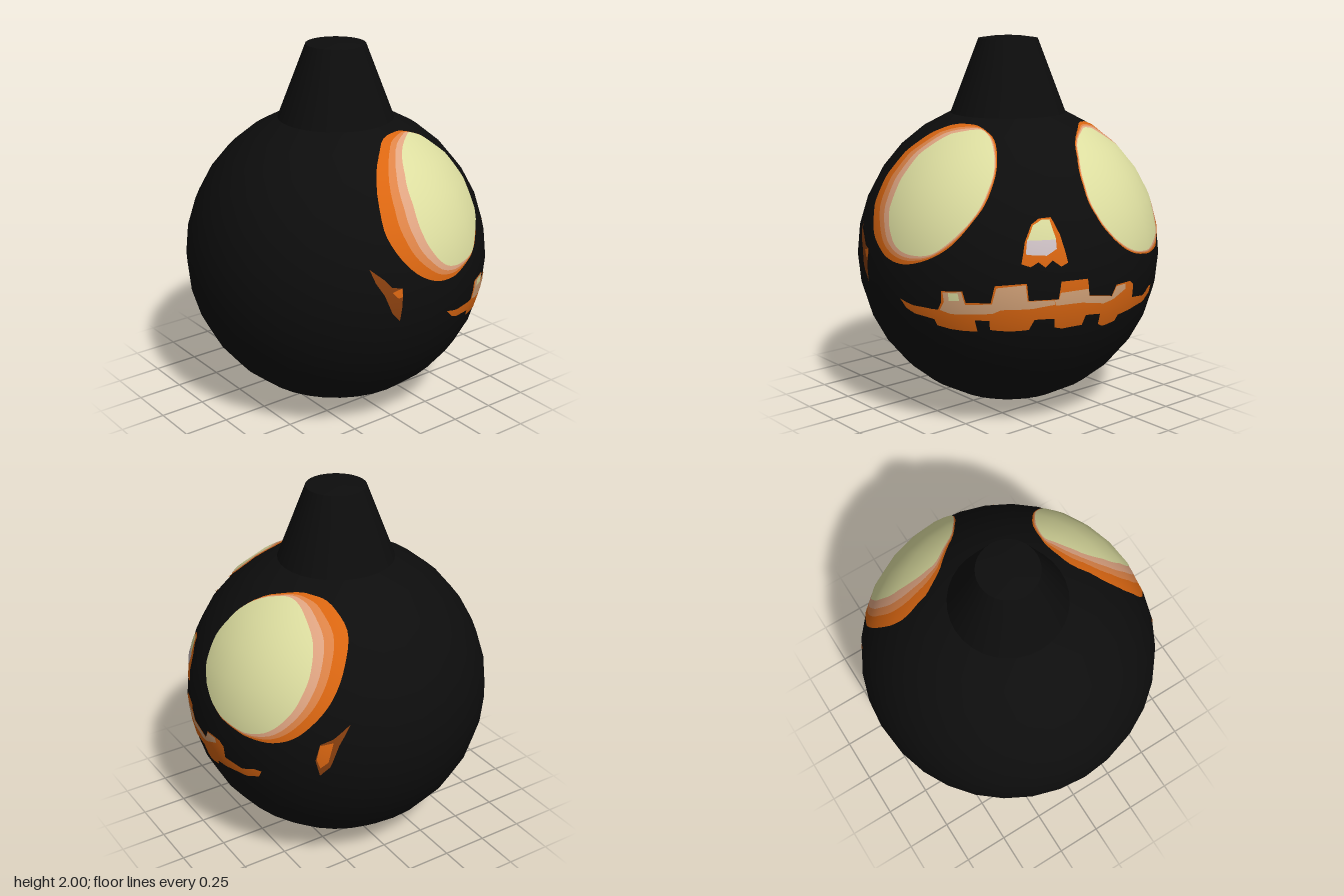
import * as THREE from 'three';

const R = 0.826, H = Math.PI / 32;
const mat = (name, color) => {
  const m = new THREE.MeshStandardMaterial({ color });
  m.name = name;
  return m;
};

// Outline points seen from the front (x, y) or the side (z, y), turned into [arc, y] on the ball
const ring = (y) => Math.sqrt(Math.max(0, R * R - (y - R) ** 2));
const clamp = (v) => Math.max(-1, Math.min(1, v));
const front = (pts) => pts.map(([x, y]) => [R * Math.asin(clamp(x / ring(y))), y]);
const side = (pts) => pts.map(([z, y]) => [R * Math.acos(clamp(z / ring(y))), y]);

// Point on the faceted ball, lifted by a small distance
function onBall([arc, y], lift) {
  const az = arc / R, r = ring(y), h = y - R;
  const mid = (Math.floor(az / (2 * H)) + 0.5) * 2 * H;
  const s = r * Math.cos(az - mid) / Math.cos(H);
  const th = Math.atan2(s, h);
  const thMid = (Math.floor(th / (2 * H)) + 0.5) * 2 * H;
  const t = R * Math.cos(H) / (Math.hypot(s, h) * Math.cos(th - thMid)) + lift / R;
  return [r * Math.sin(az) * t, h * t, r * Math.cos(az) * t];
}

// Thin painted patch that hugs the ball: triangulate, split long edges, project
function patch(name, outline, layer, material, smooth = false) {
  let pts = outline.map(([a, y]) => new THREE.Vector2(a, y));
  if (smooth) {
    const curve = new THREE.CatmullRomCurve3(pts.map((p) => new THREE.Vector3(p.x, p.y, 0)), true);
    pts = curve.getPoints(64).slice(0, 64).map((p) => new THREE.Vector2(p.x, p.y));
  }
  const flat = new THREE.ShapeGeometry(new THREE.Shape(pts));
  const p = flat.attributes.position, idx = flat.index.array;
  const stack = [], pos = [], nor = [];
  for (let i = 0; i < idx.length; i += 3)
    stack.push([0, 1, 2].map((k) => [p.getX(idx[i + k]), p.getY(idx[i + k])]));
  while (stack.length) {
    const t = stack.pop();
    const len = t.map((a, k) => Math.hypot(a[0] - t[(k + 1) % 3][0], a[1] - t[(k + 1) % 3][1]));
    const k = len.indexOf(Math.max(...len));
    if (len[k] > 0.03) {
      const a = t[k], b = t[(k + 1) % 3], c = t[(k + 2) % 3];
      const m = [(a[0] + b[0]) / 2, (a[1] + b[1]) / 2];
      stack.push([a, m, c], [m, b, c]);
    } else {
      for (const v of t) {
        const q = onBall(v, 0.002 * layer);
        pos.push(...q);
        nor.push(...new THREE.Vector3(...q).normalize().toArray());
      }
    }
  }
  const g = new THREE.BufferGeometry();
  g.setAttribute('position', new THREE.Float32BufferAttribute(pos, 3));
  g.setAttribute('normal', new THREE.Float32BufferAttribute(nor, 3));
  const mesh = new THREE.Mesh(g, material);
  mesh.name = name;
  mesh.position.y = R;
  return mesh;
}

export function createModel() {
  const black = mat('black', 0x0d0d0d), orange = mat('orange', 0xda6611);
  const lightOrange = mat('lightOrange', 0xde8448), pink = mat('pink', 0xe0a582);
  const yellow = mat('paleYellow', 0xdddea0), tan = mat('tan', 0xd3a278);
  const lavender = mat('lavender', 0xcfc2c6), brown = mat('brown', 0x8a400f);
  const model = new THREE.Group();
  model.name = 'lanternBall';

  // Ball and tapered neck
  const ball = new THREE.Mesh(new THREE.SphereGeometry(R, 32, 16), black);
  ball.name = 'ball';
  ball.position.y = R;
  const profile = [[0.325, 1.56], [0.31, 1.595], [0.16, 1.985], [0.16, 1.985], [0.08, 1.996], [0, 2]];
  const neck = new THREE.Mesh(
    new THREE.LatheGeometry(profile.map(([x, y]) => new THREE.Vector2(x, y)), 32), black);
  neck.name = 'neck';
  model.add(ball, neck);

  // Eyes: glowing bands blended between an outer rim and an inner pane
  const eye = (name, outer, inner) => {
    const bands = [[0, orange], [0.42, lightOrange], [0.7, pink], [1, yellow]];
    const g = new THREE.Group();
    g.name = name;
    bands.forEach(([t, m], i) => g.add(patch(m.name + 'Band', outer.map((o, k) =>
      [0, 1].map((c) => o[c] + (inner[k][c] - o[c]) * t)), i + 1, m, true)));
    model.add(g);
  };
  eye('rightEye',
    front([[0.11, 1.565], [-0.03, 1.537], [-0.16, 1.425], [-0.228, 1.21], [-0.185, 1.076],
      [-0.095, 0.97], [0.026, 0.906], [0.143, 0.896], [0.286, 0.938], [0.39, 1.012],
      [0.46, 1.14], [0.476, 1.245], [0.423, 1.394], [0.328, 1.494], [0.217, 1.547]]),
    front([[0.18, 1.54], [0.05, 1.49], [-0.016, 1.394], [-0.037, 1.27], [-0.03, 1.15],
      [0.01, 1.06], [0.09, 0.975], [0.196, 0.95], [0.312, 0.97], [0.39, 1.04],
      [0.452, 1.14], [0.466, 1.245], [0.418, 1.39], [0.32, 1.49], [0.23, 1.537]]));
  eye('leftEye',
    side([[-0.164, 1.54], [-0.02, 1.473], [0.053, 1.367], [0.08, 1.245], [0.053, 1.13],
      [-0.03, 1.017], [-0.143, 0.938], [-0.275, 0.9], [-0.418, 0.89], [-0.53, 0.927],
      [-0.603, 1.023], [-0.63, 1.15], [-0.593, 1.298], [-0.497, 1.436], [-0.365, 1.52], [-0.26, 1.547]]),
    side([[-0.153, 1.52], [-0.02, 1.463], [0.048, 1.36], [0.074, 1.245], [0.048, 1.13],
      [-0.037, 1.02], [-0.143, 0.95], [-0.25, 0.92], [-0.35, 0.917], [-0.444, 0.96],
      [-0.513, 1.06], [-0.53, 1.155], [-0.508, 1.277], [-0.434, 1.394], [-0.312, 1.484], [-0.222, 1.52]]));

  // Nose
  model.add(
    patch('noseRim', side([[0.472, 0.943], [0.444, 1.05], [0.4, 1.13], [0.36, 1.157], [0.305, 1.16],
      [0.28, 1.076], [0.26, 0.938], [0.296, 0.922], [0.335, 0.955], [0.37, 0.922], [0.4, 0.95],
      [0.435, 0.927]]), 1, orange),
    patch('noseLowerGlow', side([[0.45, 0.99], [0.433, 1.06], [0.305, 1.06], [0.31, 1.01],
      [0.36, 0.98], [0.42, 0.985]]), 2, lavender),
    patch('noseUpperGlow', side([[0.433, 1.055], [0.395, 1.125], [0.35, 1.15], [0.315, 1.15],
      [0.305, 1.055]]), 3, yellow));

  // Jagged mouth with a glowing inner edge
  model.add(
    patch('mouth', [
      ...front([[0.11, 0.71], [0.2, 0.69], [0.34, 0.69], [0.36, 0.73], [0.365, 0.79], [0.465, 0.8], [0.475, 0.74]]),
      ...side([[0.59, 0.745], [0.578, 0.835], [0.455, 0.847], [0.445, 0.757], [0.31, 0.757], [0.3, 0.847],
        [0.16, 0.847], [0.145, 0.757], [0, 0.732], [-0.03, 0.785], [-0.14, 0.785], [-0.17, 0.76],
        [-0.17, 0.69], [-0.28, 0.672], [-0.36, 0.7], [-0.4, 0.7], [-0.38, 0.66], [-0.3, 0.63],
        [-0.15, 0.62], [-0.075, 0.61], [-0.06, 0.58], [0.03, 0.57], [0.06, 0.585], [0.063, 0.645],
        [0.155, 0.655], [0.165, 0.6], [0.27, 0.593], [0.31, 0.605], [0.32, 0.655], [0.41, 0.655],
        [0.425, 0.6], [0.5, 0.59], [0.575, 0.6], [0.585, 0.65]]),
      ...front([[0.5, 0.65], [0.497, 0.585], [0.38, 0.587], [0.317, 0.6], [0.31, 0.635], [0.2, 0.645], [0.15, 0.67]]),
    ], 1, orange),
    patch('mouthGlowRight', [
      ...front([[0.35, 0.69], [0.375, 0.735], [0.373, 0.785], [0.46, 0.797], [0.472, 0.73]]),
      ...side([[0.585, 0.74], [0.572, 0.825], [0.46, 0.84], [0.45, 0.755], [0.33, 0.753], [0.325, 0.73],
        [0.42, 0.715], [0.55, 0.71], [0.58, 0.69]]),
      ...front([[0.47, 0.68], [0.4, 0.675]]),
    ], 2, tan),
    patch('mouthGlowLeft', side([[0.33, 0.755], [0.308, 0.757], [0.302, 0.79], [0.155, 0.795], [0.145, 0.755],
      [0, 0.73], [-0.03, 0.778], [-0.1, 0.778], [-0.105, 0.75], [-0.02, 0.715], [0.05, 0.7],
      [0.18, 0.725], [0.32, 0.725]]), 2, tan),
    patch('mouthSpark', front([[0.4, 0.745], [0.4, 0.785], [0.445, 0.788], [0.45, 0.75]]), 3, yellow));

  // Cheek slashes
  model.add(
    patch('rightCheek', front([[-0.34, 1.03], [-0.275, 0.97], [-0.24, 0.925], [-0.185, 0.915],
      [-0.19, 0.82], [-0.197, 0.735], [-0.24, 0.785], [-0.28, 0.89], [-0.32, 0.96]]), 1, brown),
    patch('rightCheekGlow', front([[-0.24, 0.9], [-0.19, 0.915], [-0.187, 0.87], [-0.21, 0.865]]), 2, orange),
    patch('leftCheek', side([[-0.71, 1.035], [-0.68, 0.96], [-0.645, 0.925], [-0.635, 0.835],
      [-0.645, 0.74], [-0.68, 0.8], [-0.7, 0.925]]), 1, brown),
    patch('leftCheekGlow', side([[-0.645, 0.92], [-0.683, 0.94], [-0.675, 0.83], [-0.65, 0.79],
      [-0.639, 0.84]]), 2, orange));
  return model;
}
